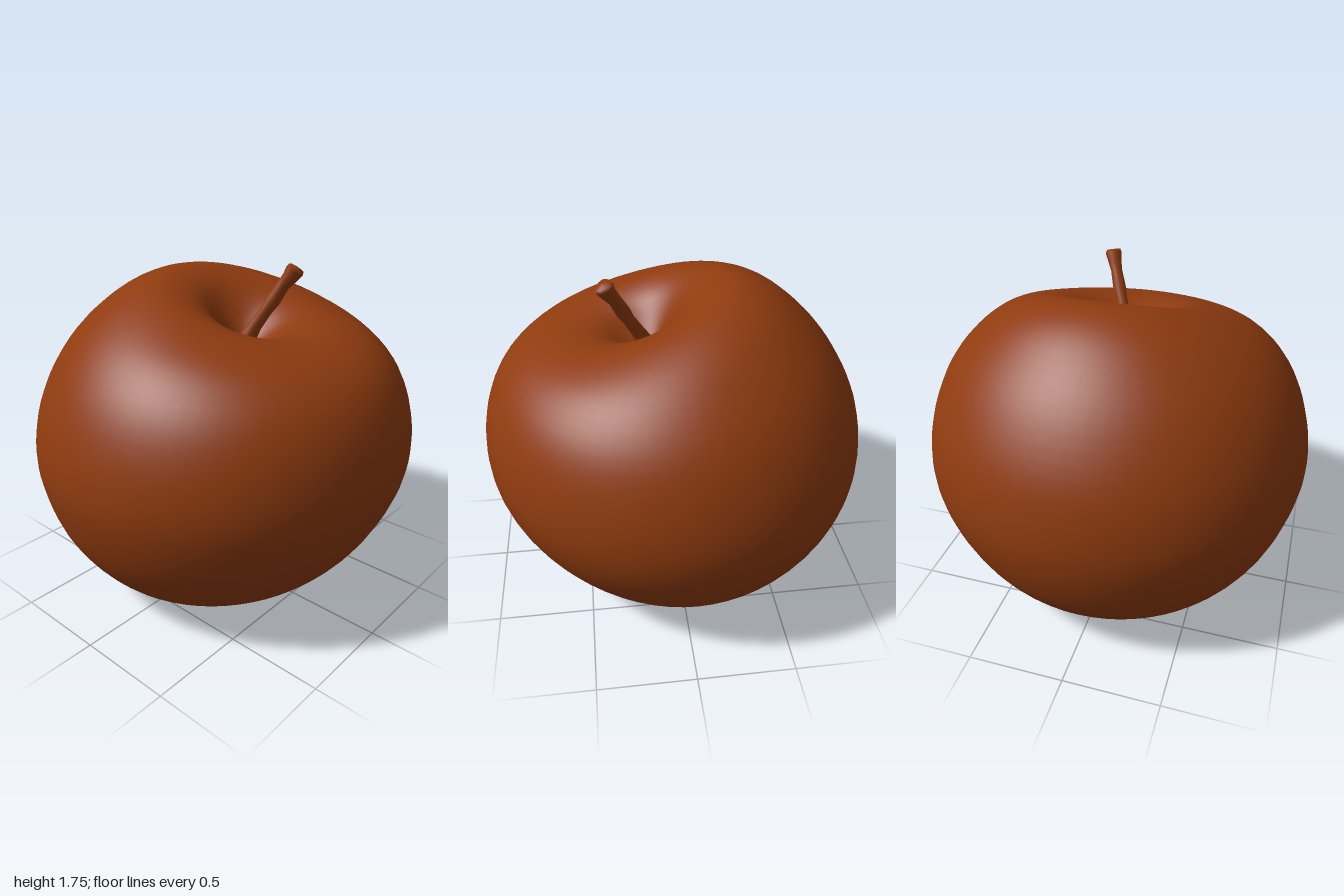
import * as THREE from 'three';

// Skin a stack of closed rings (listed from bottom to top) into a smooth surface
function loft(rows) {
  const n = rows[0].length, pos = [], idx = [];
  rows.forEach(r => r.forEach(p => pos.push(p.x, p.y, p.z)));
  for (let i = 0; i < rows.length - 1; i++) {
    for (let j = 0; j < n; j++) {
      const a = i * n + j, b = i * n + (j + 1) % n;
      idx.push(a, b, a + n, b, b + n, a + n);
    }
  }
  const g = new THREE.BufferGeometry();
  g.setAttribute('position', new THREE.Float32BufferAttribute(pos, 3));
  g.setIndex(idx);
  g.computeVertexNormals();
  return g;
}

// Fruit rings: front z, front y, back z, back y, side radius, side y, centre x
const RINGS = [
  [-0.02, 0.13, -0.02, 0.13, 0, 0.13, -0.08],
  [0.07, 0.11, -0.11, 0.11, 0.08, 0.11, -0.08],
  [0.18, 0.05, -0.22, 0.06, 0.2, 0.055, -0.05],
  [0.34, 0.015, -0.37, 0.02, 0.36, 0.005, -0.01],
  [0.5, 0.09, -0.55, 0.05, 0.52, 0.055, -0.01],
  [0.66, 0.2, -0.74, 0.2, 0.7, 0.18, -0.01],
  [0.83, 0.4, -0.88, 0.4, 0.87, 0.4, -0.01],
  [0.95, 0.65, -0.965, 0.65, 0.97, 0.63, 0],
  [0.985, 0.85, -0.98, 0.85, 1, 0.83, 0],
  [0.955, 1.08, -0.93, 1.1, 0.965, 1.05, 0],
  [0.87, 1.26, -0.8, 1.34, 0.87, 1.27, 0],
  [0.75, 1.37, -0.65, 1.51, 0.72, 1.44, 0],
  [0.6, 1.43, -0.46, 1.65, 0.55, 1.54, 0.01],
  [0.48, 1.445, -0.28, 1.695, 0.37, 1.575, 0.01],
  [0.36, 1.43, -0.1, 1.63, 0.22, 1.52, 0],
  [0.25, 1.37, 0.02, 1.47, 0.1, 1.41, -0.01],
  [0.18, 1.33, 0.08, 1.36, 0.04, 1.34, 0],
  [0.13, 1.32, 0.13, 1.32, 0, 1.32, 0],
];

function fruitGeometry() {
  const N = 64, PER = 4, columns = [];
  for (let j = 0; j < N; j++) {
    const t = (j / N) * Math.PI * 2, c = Math.cos(t), s = Math.sin(t);
    const pts = RINGS.map(([zF, yF, zB, yB, rx, yS, cx]) => new THREE.Vector3(
      cx + rx * s,
      yS + (yF - yB) / 2 * c + ((yF + yB) / 2 - yS) * c * c,
      (zF + zB) / 2 + (zF - zB) / 2 * c));
    columns.push(new THREE.CatmullRomCurve3(pts, false, 'centripetal'));
  }
  const rows = [], steps = (RINGS.length - 1) * PER;
  for (let i = 0; i <= steps; i++) rows.push(columns.map(curve => curve.getPoint(i / steps)));
  return loft(rows);
}

// Stalk rings: x, y, z, radius; zero radius closes an end
function stalkGeometry() {
  const path = [
    [0, 1.3, 0.13, 0.055], [0, 1.37, 0.14, 0.04], [0.025, 1.45, 0.18, 0.03],
    [0.055, 1.53, 0.225, 0.027], [0.075, 1.58, 0.25, 0.032], [0.1, 1.65, 0.285, 0.028],
    [0.12, 1.695, 0.315, 0.034], [0.13, 1.725, 0.33, 0.04], [0.133, 1.74, 0.338, 0.036],
    [0.134, 1.745, 0.34, 0],
  ];
  const N = 12;
  return loft(path.map(([x, y, z, r]) => Array.from({ length: N }, (_, j) => {
    const t = (j / N) * Math.PI * 2, k = r * (1 + 0.1 * Math.sin(3 * t));
    return new THREE.Vector3(x + k * Math.sin(t), y - 0.45 * k * Math.cos(t) - 0.25 * k * Math.sin(t), z + k * Math.cos(t));
  })));
}

export function createModel() {
  const model = new THREE.Group();
  model.name = 'apple';
  const skin = new THREE.MeshStandardMaterial({ color: 0x8f3b0f });
  skin.name = 'russet brown';

  const add = (name, geometry, parent = model) => {
    const mesh = new THREE.Mesh(geometry, skin);
    mesh.name = name;
    parent.add(mesh);
    return mesh;
  };
  add('fruit', fruitGeometry());
  add('stalk', stalkGeometry());

  // Dried blossom remnant in the bottom hollow: curled sepals around a small bud
  const blossom = new THREE.Group();
  blossom.name = 'blossomEnd';
  blossom.position.set(-0.08, 0.1, -0.02);
  model.add(blossom);
  add('bud', new THREE.SphereGeometry(0.035, 12, 8), blossom);
  for (let i = 0; i < 5; i++) {
    const a = (i / 5) * Math.PI * 2 + 0.3, len = 0.1 + 0.02 * Math.sin(i * 2.3);
    const sepal = new THREE.ConeGeometry(0.032, len, 8, 4);
    const p = sepal.attributes.position;
    for (let k = 0; k < p.count; k++) {
      const u = p.getY(k) / len + 0.5;
      p.setXYZ(k, p.getX(k), 0.35 * p.getZ(k) - 0.05 * Math.sin(u * 2.6), u * len);
    }
    sepal.computeVertexNormals();
    const mesh = add('sepal', sepal, blossom);
    mesh.position.set(0.015 * Math.sin(a), 0, 0.015 * Math.cos(a));
    mesh.rotation.y = a;
  }
  return model;
}
